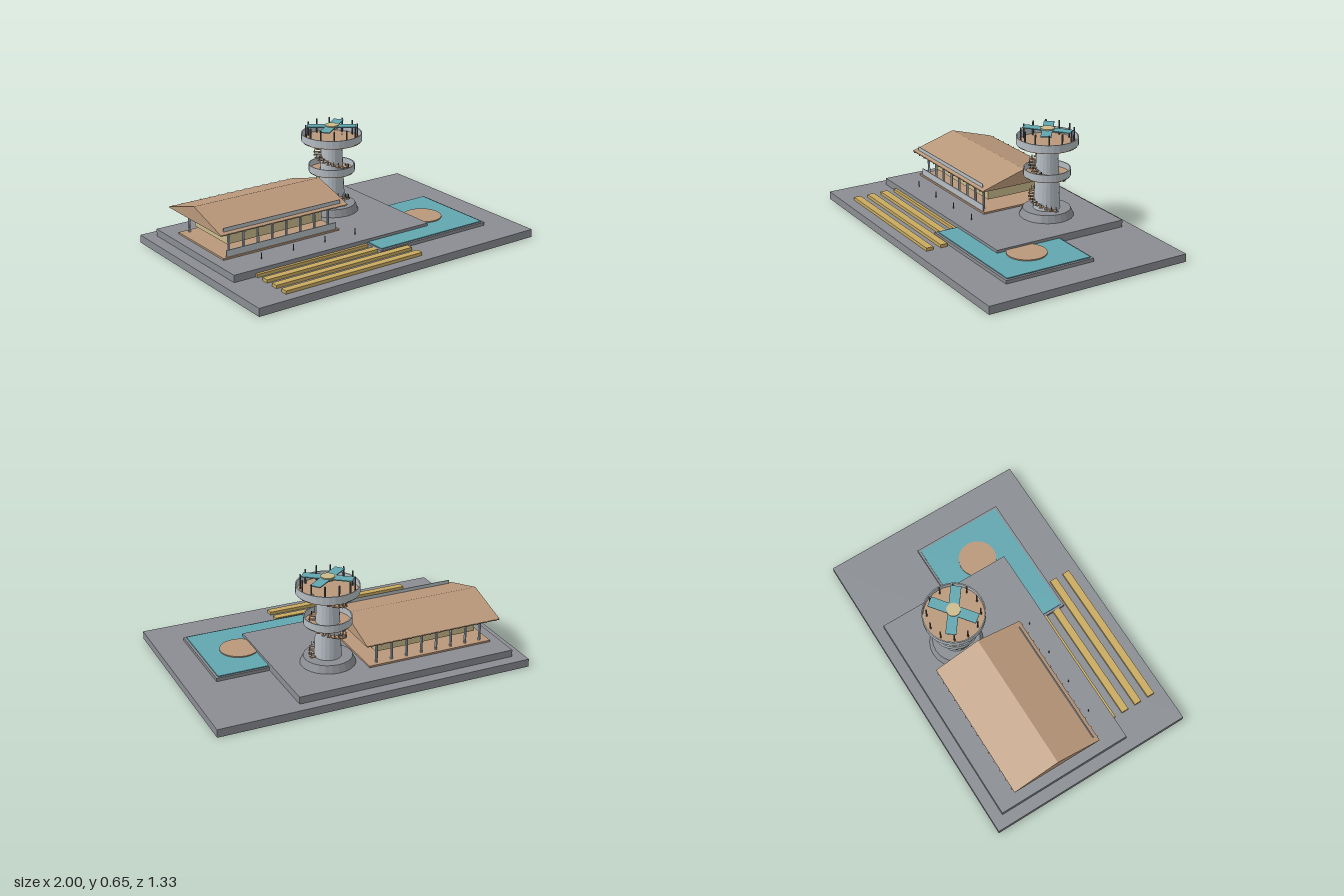
import * as THREE from 'three';

const mat = (name, color, opts = {}) => {
  const m = new THREE.MeshStandardMaterial({ color, ...opts });
  m.name = name;
  return m;
};

export function createModel() {
  const stone = mat('stone grey', 0x8a8d92, { flatShading: true });
  const pale = mat('pale grey', 0xb6bec4, { flatShading: true, side: THREE.DoubleSide });
  const wood = mat('tan wood', 0xb9987a, { flatShading: true });
  const gold = mat('gold', 0xc8aa60);
  const glow = mat('pale gold', 0xcbbb8c);
  const teal = mat('teal', 0x62a6b0);
  const dark = mat('dark grey', 0x55585d);

  const model = new THREE.Group();
  const add = (parent, name, geometry, material, x = 0, y = 0, z = 0) => {
    const mesh = new THREE.Mesh(geometry, material);
    mesh.name = name;
    mesh.position.set(x, y, z);
    parent.add(mesh);
    return mesh;
  };
  // Box given by its limits on each axis
  const box = (parent, name, material, x0, x1, y0, y1, z0, z1) =>
    add(parent, name, new THREE.BoxGeometry(x1 - x0, y1 - y0, z1 - z0), material,
      (x0 + x1) / 2, (y0 + y1) / 2, (z0 + z1) / 2);
  // Cylinder given by its lower and upper height
  const drum = (parent, name, material, rBottom, rTop, y0, y1, x = 0, z = 0, sides = 24, open = false) =>
    add(parent, name, new THREE.CylinderGeometry(rTop, rBottom, y1 - y0, sides, 1, open), material,
      x, (y0 + y1) / 2, z);
  const group = (name, x = 0, z = 0) => {
    const g = new THREE.Group();
    g.name = name;
    g.position.set(x, 0, z);
    model.add(g);
    return g;
  };

  // Ground and terrace
  box(model, 'base', stone, -1, 1, 0, 0.05, -0.667, 0.667);
  box(model, 'terrace', stone, -0.925, 0.475, 0.05, 0.095, -0.595, 0.295);

  // Pool with a round island
  const pool = group('pool');
  box(pool, 'poolBorder', stone, 0, 0.81, 0.05, 0.071, -0.148, 0.442);
  box(pool, 'water', teal, 0.015, 0.795, 0.071, 0.077, -0.135, 0.427);
  drum(pool, 'island', wood, 0.12, 0.12, 0.077, 0.084, 0.555, 0.145, 32);

  // Long low benches
  const benches = group('benches');
  for (let i = 0; i < 4; i++) {
    const z = 0.575 - i * 0.095;
    box(benches, 'bench', gold, -0.78, 0.183, 0.05, 0.07, z - 0.023, z + 0.023);
  }

  // Hall: deck, inner room, columns
  const hall = group('hall');
  box(hall, 'deck', wood, -0.858, -0.04, 0.095, 0.106, -0.443, 0.076);
  box(hall, 'innerRoom', glow, -0.785, -0.115, 0.153, 0.22, -0.37, 0);
  for (let i = 0; i < 8; i++) {
    for (const z of [0.04, -0.41]) {
      drum(hall, 'column', pale, 0.008, 0.008, 0.106, 0.255, -0.8 + i * 0.1, z, 10);
    }
  }
  box(hall, 'frontRailing', pale, -0.835, -0.057, 0.106, 0.148, 0.064, 0.07);
  box(hall, 'eaveBoard', pale, -0.858, -0.04, 0.264, 0.295, 0.08, 0.084);
  box(hall, 'ceilingFrame', wood, -0.875, -0.02, 0.25, 0.262, -0.46, 0.08);

  // Gable roof, extruded along x
  const gable = new THREE.Shape([
    new THREE.Vector2(-0.108, 0.258),
    new THREE.Vector2(0.488, 0.258),
    new THREE.Vector2(0.488, 0.264),
    new THREE.Vector2(0.19, 0.352),
    new THREE.Vector2(-0.108, 0.264),
  ]);
  const roof = new THREE.ExtrudeGeometry(gable, { depth: 0.89, bevelEnabled: false });
  roof.rotateY(Math.PI / 2);
  add(hall, 'roof', roof, wood, -0.89);
  for (let i = 0; i < 14; i++) {
    const x = -0.86 + i * 0.064;
    box(hall, 'rafter', wood, x - 0.004, x + 0.004, 0.257, 0.265, -0.494, 0.114);
  }

  // Small posts along the terrace
  const posts = group('pathPosts');
  for (let i = 0; i < 4; i++) {
    drum(posts, 'pathPost', dark, 0.003, 0.003, 0.095, 0.135, -0.67 + i * 0.223, 0.185, 6);
  }

  // Tower: foot, tapering shaft, two dish-shaped balconies
  const tower = group('tower', 0.147, -0.26);
  drum(tower, 'foot', stone, 0.168, 0.148, 0.095, 0.14);
  drum(tower, 'shaft', pale, 0.083, 0.064, 0.14, 0.55, 0, 0, 20);
  for (const [name, y, r, h] of [['lowerBalcony', 0.346, 0.145, 0.052], ['upperBalcony', 0.545, 0.19, 0.054]]) {
    drum(tower, name + 'Floor', wood, r - 0.006, r - 0.006, y, y + 0.014, 0, 0, 32);
    const wall = new THREE.LatheGeometry([
      [r - 0.007, y + 0.007], [r, y + 0.007], [r, y + h], [r - 0.007, y + h], [r - 0.007, y + 0.007],
    ].map(([a, b]) => new THREE.Vector2(a, b)), 32);
    add(tower, name + 'Wall', wall, pale);
  }

  // Spiral stair, two turns from the foot to the upper balcony
  const count = 42;
  for (let i = 0; i < count; i++) {
    const step = new THREE.Group();
    step.name = 'stairStep';
    step.position.y = 0.145 + (i / count) * 0.4;
    step.rotation.y = -(i / count) * Math.PI * 4;
    box(step, 'tread', wood, 0.06, 0.114, -0.003, 0.003, -0.01, 0.01);
    box(step, 'railPost', dark, 0.106, 0.109, 0, 0.028, -0.0015, 0.0015);
    tower.add(step);
  }

  // Ring of posts on the top
  for (let i = 0; i < 12; i++) {
    const a = (i * Math.PI) / 6;
    drum(tower, 'topPost', dark, 0.005, 0.005, 0.559, 0.65, 0.16 * Math.cos(a), 0.16 * Math.sin(a), 8);
  }

  // Crossed blades with a round hub
  for (const a of [0.65, -0.65]) {
    box(tower, 'blade', teal, -0.152, 0.152, 0.637, 0.643, -0.032, 0.032).rotation.y = a;
  }
  drum(tower, 'hub', glow, 0.042, 0.042, 0.628, 0.65);

  return model;
}
